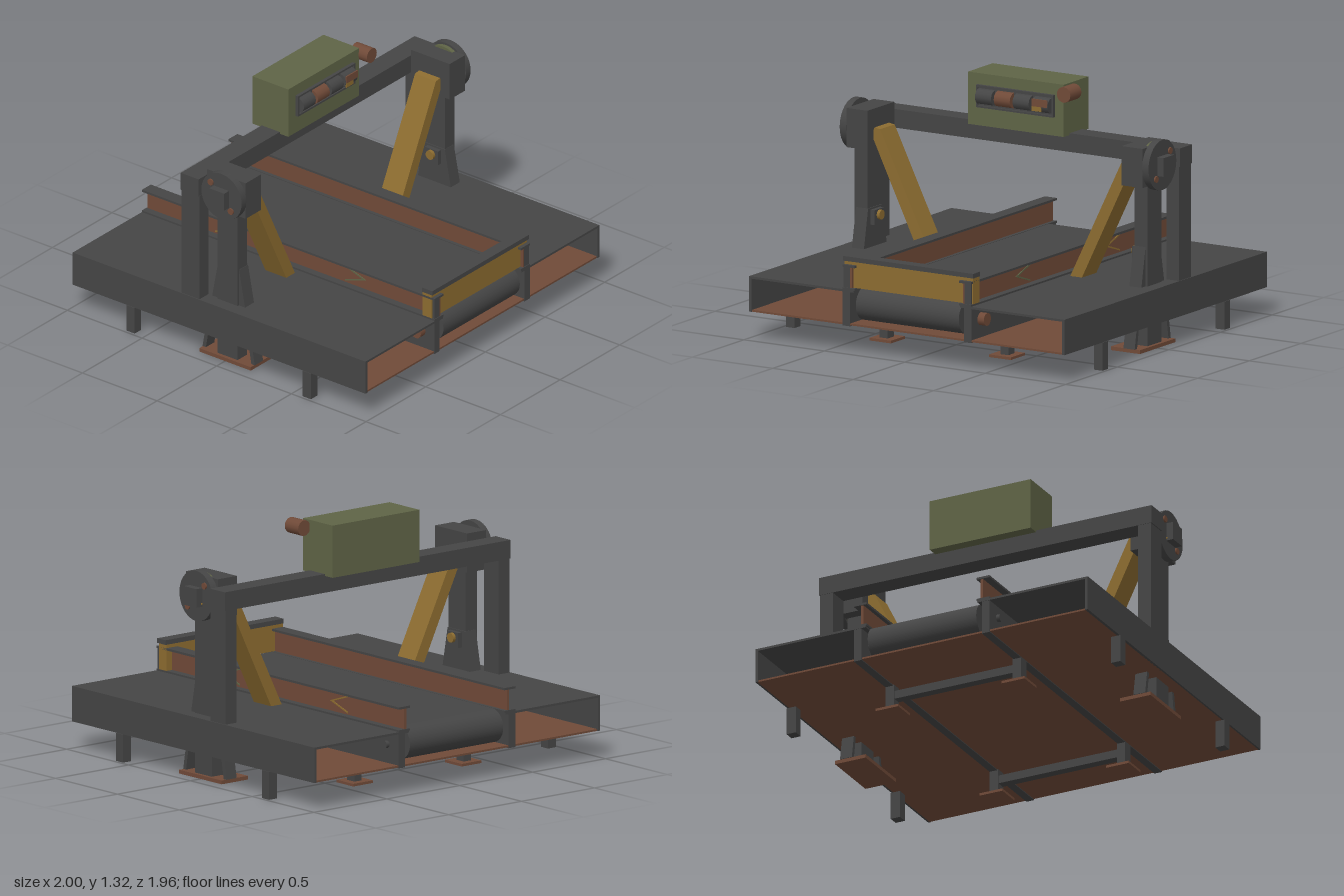
import * as THREE from 'three';

const mat = (name, color) => {
  const m = new THREE.MeshStandardMaterial({ color });
  m.name = name;
  return m;
};

export function createModel() {
  const root = new THREE.Group();
  root.name = 'conveyorGantry';
  const steel = mat('dark steel', 0x454545);
  const rust = mat('rust brown', 0x704a38);
  const gold = mat('ochre', 0x8c6c30);
  const green = mat('olive green', 0x5f6446);

  const add = (name, geo, material) => {
    const m = new THREE.Mesh(geo, material);
    m.name = name;
    root.add(m);
    return m;
  };
  // Box from its limits on each axis
  const box = (name, material, x0, x1, y0, y1, z0, z1) => {
    const g = new THREE.BoxGeometry(Math.abs(x1 - x0), y1 - y0, z1 - z0);
    g.translate((x0 + x1) / 2, (y0 + y1) / 2, (z0 + z1) / 2);
    return add(name, g, material);
  };
  // Cylinder along x or z
  const rod = (name, material, axis, r, x, y, z, length, sides = 24) => {
    const g = new THREE.CylinderGeometry(r, r, length, sides);
    if (axis === 'x') g.rotateZ(Math.PI / 2);
    else g.rotateX(Math.PI / 2);
    g.translate(x, y, z);
    return add(name, g, material);
  };
  // Outline in (z, y), extruded along x between x0 and x1
  const sidePlate = (name, material, pts, x0, x1, curveSegments = 12) => {
    const shape = pts instanceof THREE.Shape ? pts
      : new THREE.Shape(pts.map(([z, y]) => new THREE.Vector2(-z, y)));
    const g = new THREE.ExtrudeGeometry(shape,
      { depth: Math.abs(x1 - x0), bevelEnabled: false, curveSegments });
    g.rotateY(Math.PI / 2);
    g.translate(Math.min(x0, x1), 0, 0);
    return add(name, g, material);
  };

  // Belt: a long loop with round ends
  const belt = new THREE.Shape();
  belt.moveTo(-0.885, 0.17);
  belt.lineTo(0.885, 0.17);
  belt.absarc(0.885, 0.26, 0.09, -Math.PI / 2, Math.PI / 2, false);
  belt.lineTo(-0.885, 0.35);
  belt.absarc(-0.885, 0.26, 0.09, Math.PI / 2, Math.PI * 1.5, false);
  sidePlate('belt', steel, belt, -0.32, 0.32, 20);
  for (const z of [-0.885, 0.885]) rod('rollerShaft', steel, 'x', 0.02, 0, 0.26, z, 0.84, 12);

  // Bottom panel and the end stop across the belt
  box('bottomPanel', rust, -0.97, 0.97, 0.15, 0.16, -0.975, 0.975);
  box('endStop', gold, -0.4, 0.4, 0.35, 0.49, 0.9, 0.96);
  box('endStopCap', steel, -0.405, 0.405, 0.49, 0.515, 0.9, 0.968);

  // Cross bars between the inner legs
  for (const z of [-0.59, 0.59]) box('legCrossBar', steel, -0.36, 0.36, 0.07, 0.115, z - 0.025, z + 0.025);

  for (const s of [-1, 1]) {
    const sb = (name, m, a, b, ...rest) => box(name, m, s * a, s * b, ...rest);

    // Side deck, open at its ends
    sb('deckTop', steel, 0.33, 0.98, 0.328, 0.34, -0.98, 0.98);
    sb('deckSideWall', steel, 0.965, 0.98, 0.15, 0.34, -0.98, 0.98);
    sb('innerBeam', steel, 0.355, 0.4, 0.145, 0.33, -0.978, 0.978);

    // Belt guide rail
    sb('railWeb', rust, 0.345, 0.36, 0.34, 0.46, -0.975, 0.975);
    sb('railTopFlange', steel, 0.325, 0.4, 0.46, 0.472, -0.98, 0.98);
    sb('railBottomFlange', steel, 0.325, 0.4, 0.338, 0.35, -0.98, 0.98);
    sb('railEndPost', steel, 0.355, 0.395, 0.33, 0.465, 0.962, 0.976);

    // Direction marks on the rail
    for (const [z, m] of [[0.42, green], [-0.45, gold]]) {
      const pts = [[z - 0.07, 0.452], [z + 0.07, 0.405], [z - 0.07, 0.358],
        [z - 0.07, 0.366], [z + 0.045, 0.405], [z - 0.07, 0.444]];
      sidePlate('directionMark', m, pts, s * 0.36, s * 0.364);
    }

    // Legs and feet
    for (const z of [-0.59, 0.59]) {
      sb('outerLeg', steel, 0.93, 0.984, 0, 0.15, z - 0.028, z + 0.028);
      sb('innerLeg', steel, 0.35, 0.4, 0.01, 0.15, z - 0.03, z + 0.03);
      sb('innerFoot', rust, 0.305, 0.44, 0, 0.014, z - 0.068, z + 0.068);
    }

    // Main column with flared skirt, lower struts and base plate
    sb('column', steel, 0.83, 0.91, 0.02, 0.95, -0.068, 0.068);
    sidePlate('columnSkirt', steel,
      [[-0.11, 0.34], [0.11, 0.34], [0.07, 0.55], [-0.07, 0.55]], s * 0.825, s * 0.9);
    for (const d of [-1, 1]) {
      sidePlate('columnStrut', steel,
        [[d * 0.13, 0.15], [d * 0.152, 0.15], [d * 0.175, 0.02], [d * 0.152, 0.02]],
        s * 0.83, s * 0.9);
    }
    sb('columnBase', rust, 0.75, 0.93, 0, 0.02, -0.172, 0.172);
    sb('switchBox', steel, 0.8, 0.83, 0.46, 0.54, -0.045, 0.045);
    rod('switchButton', gold, 'x', 0.026, s * 0.792, 0.51, 0, 0.018, 16);

    // Drive head with disc, hub and bolts
    sb('headBox', steel, 0.79, 0.92, 0.88, 1.09, -0.13, 0.13);
    rod('driveDisc', steel, 'x', 0.135, s * 0.94, 0.985, 0, 0.04, 28);
    sb('driveHub', steel, 0.95, 1, 0.935, 1.035, -0.05, 0.05);
    for (const [z, y, r, m] of [[0.065, 0.92, 0.018, rust], [-0.07, 1.05, 0.018, rust], [-0.042, 0.95, 0.01, gold]])
      rod('discBolt', m, 'x', r, s * 0.962, y, z, 0.012, 12);

    // Slanted brace with upright foot
    const brace = new THREE.Shape([[0.75, 0.985], [0.785, 0.99], [0.803, 0.95], [0.475, 0.28],
      [0.475, 0.165], [0.41, 0.165], [0.432, 0.34]].map(([x, y]) => new THREE.Vector2(s * x, y)));
    const g = new THREE.ExtrudeGeometry(brace, { depth: 0.14, bevelEnabled: false });
    g.translate(0, 0, -0.07);
    add('brace', g, gold);
    rod('shaftNut', rust, 'x', 0.035, s * 0.42, 0.26, 0.885, 0.04, 12);

    // Gantry post
    sb('gantryPost', steel, 0.9, 0.975, 0.34, 0.95, -0.255, -0.135);
  }
  rod('discBackPlate', green, 'x', 0.122, 0.913, 0.985, 0, 0.03, 28);

  // Gantry beam and control box
  box('gantryBeam', steel, -0.98, 0.98, 0.95, 1.05, -0.257, -0.137);
  box('controlBox', green, -0.3, 0.295, 1.04, 1.32, -0.32, -0.08);

  // Counter window: thin frame, backing and four drums
  box('windowBacking', steel, -0.24, 0.24, 1.14, 1.26, -0.08, -0.074);
  for (const y of [1.14, 1.25]) box('windowFrame', steel, -0.24, 0.24, y, y + 0.01, -0.08, -0.062);
  for (const x of [-0.24, 0.23]) box('windowFrame', steel, x, x + 0.01, 1.14, 1.26, -0.08, -0.062);
  for (let i = 0; i < 4; i++) {
    const x = -0.177 + i * 0.117;
    rod('counterDrum', i === 1 ? rust : steel, 'x', 0.042, x, 1.2, -0.074, 0.1, 12);
    if (i === 3) {
      box('drumMark', rust, x - 0.048, x + 0.048, 1.195, 1.235, -0.038, -0.031);
      box('drumMark', gold, x - 0.048, x + 0.01, 1.17, 1.195, -0.038, -0.031);
    }
  }

  // Side knob
  rod('knob', rust, 'z', 0.042, 0.33, 1.28, -0.078, 0.108, 16);
  box('knobArm', rust, 0.29, 0.33, 1.265, 1.295, -0.125, -0.1);
  return root;
}
